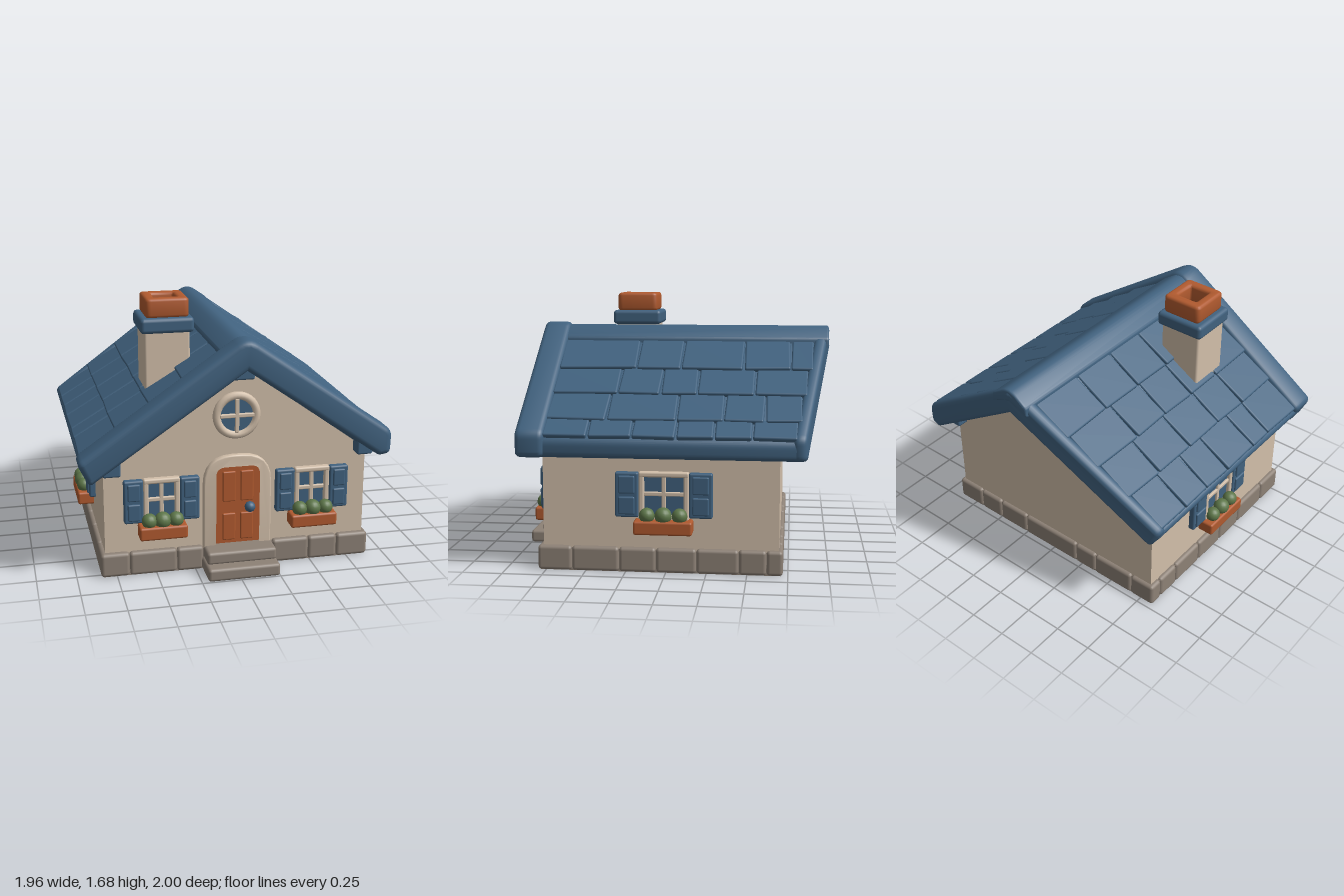
import * as THREE from 'three';
import { toCreasedNormals } from 'three/addons/utils/BufferGeometryUtils.js';
import { RoundedBoxGeometry } from 'three/addons/geometries/RoundedBoxGeometry.js';

const material = (name, color) => {
  const m = new THREE.MeshStandardMaterial({ color });
  m.name = name;
  return m;
};
const cream = material('cream plaster', 0xd2bfaa);
const blue = material('slate blue', 0x41627f);
const orange = material('terracotta', 0xb05a2f);
const stone = material('grey stone', 0x8d8176);
const green = material('leaf green', 0x5d7649);

const RIDGE = 0.05, SLOPE = 0.69, WALL_Z = 0.765;

function add(parent, name, geometry, mat) {
  const mesh = new THREE.Mesh(geometry, mat);
  mesh.name = name;
  parent.add(mesh);
  return mesh;
}

// Soft-edged box given by its limits
function block(parent, name, mat, [x0, x1], [y0, y1], [z0, z1], r = 0.012) {
  const size = [x1 - x0, y1 - y0, z1 - z0];
  const mesh = add(parent, name, new RoundedBoxGeometry(...size, 2, Math.min(r, Math.min(...size) * 0.45)), mat);
  mesh.position.set((x0 + x1) / 2, (y0 + y1) / 2, (z0 + z1) / 2);
  return mesh;
}

// Outline with rounded corners; each point is [x, y, corner radius]
function outline(points, Type = THREE.Shape) {
  const shape = new Type();
  points.forEach(([x, y, r = 0], i) => {
    const n = points.length;
    const toward = ([px, py]) => {
      const d = Math.hypot(px - x, py - y);
      return [x + (px - x) * r / d, y + (py - y) * r / d];
    };
    const a = toward(points[(i + n - 1) % n]), b = toward(points[(i + 1) % n]);
    if (i === 0) shape.moveTo(...a); else shape.lineTo(...a);
    if (r > 0) shape.quadraticCurveTo(x, y, ...b);
  });
  shape.closePath();
  return shape;
}

function extrude(shape, z0, z1, bevel = 0) {
  const geo = new THREE.ExtrudeGeometry(shape, {
    depth: z1 - z0 - 2 * bevel, bevelEnabled: bevel > 0, bevelThickness: bevel,
    bevelSize: bevel, bevelOffset: -bevel, bevelSegments: 3, curveSegments: 6,
  });
  geo.translate(0, 0, z0 + bevel);
  return toCreasedNormals(geo, 0.7);
}

// Gable-shaped roof section
function gable(apex, xl, xr) {
  const top = x => apex - SLOPE * Math.abs(x - RIDGE);
  return outline([
    [RIDGE, apex, 0.08], [xr, top(xr), 0.04], [xr - 0.005, 0.725, 0.035], [xr - 0.08, 0.715, 0.01],
    [RIDGE, 1.31], [xl + 0.075, 0.65, 0.03], [xl, top(xl), 0.04],
  ]);
}

const backEdge = x => -1 + 0.155 * Math.abs(x - RIDGE) / 0.95;

// Move vertices so the back end follows the slanted back edge
function slantBack(geo, z0, z1, shearOnly) {
  const p = geo.attributes.position;
  for (let i = 0; i < p.count; i++) {
    const shift = backEdge(p.getX(i)) + 1;
    const t = shearOnly ? 1 : (z1 - p.getZ(i)) / (z1 - z0);
    p.setZ(i, p.getZ(i) + shift * t);
  }
  return toCreasedNormals(geo, 0.7);
}

function buildRoof() {
  const roof = new THREE.Group();
  roof.name = 'roof';
  add(roof, 'roofSlab', slantBack(extrude(gable(1.465, -0.975, 0.965), -0.99, 0.85, 0.03), -0.99, 0.85), blue);
  add(roof, 'frontRake', extrude(gable(1.52, -0.99, 0.985), 0.735, 0.915, 0.035), blue);
  add(roof, 'backRake', slantBack(extrude(gable(1.495, -0.98, 0.968), -1, -0.92, 0.03), -1, -0.92, true), blue);
  const w = 0.14, e = 1.5 - SLOPE * w;
  add(roof, 'ridgeCap', extrude(outline([
    [RIDGE, 1.5, 0.07], [RIDGE + w, e, 0.02], [RIDGE + w, e - 0.06], [RIDGE, 1.4],
    [RIDGE - w, e - 0.06], [RIDGE - w, e, 0.02],
  ]), -0.995, 0.88, 0.015), blue);

  // Overlapping tiles: row limits measured from the ridge, joints along z
  const slopes = [
    { s: 1, rows: [0.13, 0.37, 0.57, 0.77, 0.89], joints: [
      [0.75, 0.24, -0.05, -0.45, -0.75], [0.75, 0.33, 0.06, -0.17, -0.53],
      [0.75, 0.37, -0.06, -0.35, -0.6], [0.75, 0.47, 0.2, -0.07, -0.3, -0.53]] },
    { s: -1, rows: [0.12, 0.35, 0.56, 0.77, 0.99], joints: [
      [0.75, 0.42, 0.1, -0.2, -0.52], [0.75, 0.38, 0.1, -0.18, -0.47],
      [0.75, 0.4, 0.12, -0.2, -0.52], [0.75, 0.4, 0.22, -0.08, -0.31, -0.54]] },
  ];
  const pitch = Math.atan(SLOPE);
  for (const { s, rows, joints } of slopes) {
    joints.forEach((line, r) => {
      const mid = (rows[r] + rows[r + 1]) / 2;
      const length = (rows[r + 1] - rows[r]) / Math.cos(pitch) + 0.02;
      const ends = [...line, backEdge(RIDGE + mid) + 0.06];
      for (let i = 0; i + 1 < ends.length; i++) {
        const width = ends[i] - ends[i + 1] - 0.01;
        const tile = add(roof, 'roofTile', new RoundedBoxGeometry(length, 0.04, width, 2, 0.012), blue);
        tile.position.set(RIDGE + s * mid, 1.465 - SLOPE * mid, (ends[i] + ends[i + 1]) / 2);
        tile.rotation.z = -s * (pitch - 0.07);
        tile.rotateY(0.025 * Math.sin(i * 2.3 + r * 1.7 + s));
      }
    });
  }

  // Brackets below the eaves and the peak
  for (const z of [[0.74, 0.85], [-0.77, -0.68]]) {
    block(roof, 'eaveBracket', blue, [-0.83, -0.72], [0.68, 0.8], z);
    block(roof, 'eaveBracket', blue, [0.78, 0.88], [0.71, 0.82], z);
  }
  block(roof, 'peakBlock', blue, [-0.045, 0.11], [1.24, 1.35], [0.74, 0.84]);
  return roof;
}

// Window with shutters and flower box, facing +z from the wall
function buildWindow(name, w, shutterW, boxW) {
  const g = new THREE.Group(), h = w / 2;
  g.name = name;
  block(g, 'windowGlass', blue, [-h + 0.01, h - 0.01], [0.35, 0.62], [0.002, 0.01], 0.001);
  for (const s of [-1, 1]) {
    block(g, 'windowJamb', cream, [s * (h - 0.017) - 0.017, s * (h - 0.017) + 0.017], [0.34, 0.63], [-0.01, 0.035]);
    const c = s * (h + shutterW / 2), q = shutterW / 2;
    block(g, 'shutter', blue, [c - q, c + q], [0.35, 0.63], [-0.01, 0.04]);
    for (const y of [0.37, 0.5])
      block(g, 'shutterPanel', blue, [c - q + 0.022, c + q - 0.022], [y, y + 0.11], [0.03, 0.052], 0.009);
  }
  for (const y of [0.33, 0.6])
    block(g, 'windowRail', cream, [-h, h], [y, y + 0.034], [-0.01, 0.037]);
  block(g, 'mullion', cream, [-0.013, 0.013], [0.34, 0.62], [-0.005, 0.025], 0.006);
  block(g, 'transom', cream, [-h + 0.01, h - 0.01], [0.482, 0.508], [-0.005, 0.025], 0.006);
  block(g, 'flowerBox', orange, [-boxW / 2, boxW / 2], [0.255, 0.34], [-0.01, 0.105], 0.014);
  for (const i of [-1, 0, 1]) {
    const bush = add(g, 'bush', new THREE.SphereGeometry(0.048, 16, 12), green);
    bush.position.set(i * boxW * 0.28, 0.368, 0.055);
    if (i === 0) bush.scale.setScalar(1.1);
  }
  return g;
}

function buildDoor() {
  const g = new THREE.Group();
  g.name = 'door';
  const arch = (l, r, top, round) => [[l, 0.14], [l, top, round], [r, top, round], [r, 0.14]];
  const surround = outline(arch(-0.2, 0.235, 0.75, 0.19));
  surround.holes.push(outline(arch(-0.13, 0.17, 0.685, 0.07), THREE.Path));
  add(g, 'doorSurround', extrude(surround, WALL_Z - 0.02, WALL_Z + 0.035, 0.01), cream);
  add(g, 'doorLeaf', extrude(outline(arch(-0.135, 0.175, 0.69, 0.07)), WALL_Z - 0.02, WALL_Z + 0.012), orange);
  for (const x of [[-0.075, 0.008], [0.04, 0.123]]) for (const y of [[0.18, 0.36], [0.44, 0.64]])
    block(g, 'doorPanel', orange, x, y, [WALL_Z, WALL_Z + 0.024], 0.008);
  const knob = add(g, 'doorKnob', new THREE.SphereGeometry(0.034, 16, 12), blue);
  knob.position.set(0.095, 0.405, WALL_Z + 0.045);
  return g;
}

function buildRoundWindow() {
  const g = new THREE.Group();
  g.name = 'roundWindow';
  g.position.set(0.015, 1.0, WALL_Z);
  add(g, 'roundFrame', new THREE.TorusGeometry(0.126, 0.026, 10, 36), cream);
  add(g, 'roundGlass', new THREE.CircleGeometry(0.12, 32), blue).position.z = 0.006;
  block(g, 'mullion', cream, [-0.013, 0.013], [-0.11, 0.11], [-0.005, 0.022], 0.006);
  block(g, 'transom', cream, [-0.11, 0.11], [-0.013, 0.013], [-0.005, 0.022], 0.006);
  return g;
}

function buildChimney() {
  const g = new THREE.Group();
  g.name = 'chimney';
  block(g, 'chimneyShaft', cream, [-0.505, -0.215], [1.0, 1.5], [0.185, 0.47], 0.015);
  block(g, 'chimneyCap', blue, [-0.53, -0.19], [1.468, 1.565], [0.16, 0.495], 0.025);
  const square = (h, r) => [[-h, -h, r], [h, -h, r], [h, h, r], [-h, h, r]];
  const pot = outline(square(0.138, 0.035));
  pot.holes.push(outline(square(0.07, 0.01), THREE.Path));
  const geo = extrude(pot, 0, 0.125, 0.02);
  geo.rotateX(-Math.PI / 2);
  add(g, 'chimneyPot', geo, orange).position.set(-0.355, 1.56, 0.327);
  return g;
}

function buildFoundation() {
  const g = new THREE.Group();
  g.name = 'foundation';
  add(g, 'foundationCore', new THREE.BoxGeometry(1.71, 0.142, 1.49), stone).position.set(0.02, 0.071, 0.04);
  const xs = [-0.85, -0.67, -0.37, -0.2, 0.25, 0.49, 0.68, 0.89];
  const zs = [0.8, 0.585, 0.29, 0.06, -0.19, -0.45, -0.62, -0.72];
  const y = [0, 0.155];
  for (let i = 0; i < 7; i++) {
    for (const z of [[0.68, 0.8], [-0.72, -0.62]])
      block(g, 'foundationStone', stone, [xs[i], xs[i + 1]], y, z, 0.022);
    for (const x of [[-0.85, -0.74], [0.78, 0.89]])
      block(g, 'foundationStone', stone, x, y, [zs[i + 1], zs[i]], 0.022);
  }
  block(g, 'upperStep', stone, [-0.2, 0.245], [0.075, 0.157], [0.7, 0.92], 0.02);
  block(g, 'lowerStep', stone, [-0.21, 0.25], [0, 0.083], [0.7, 1.0], 0.02);
  return g;
}

export function createModel() {
  const house = new THREE.Group();
  house.name = 'cottage';
  const walls = outline([[-0.82, 0.1], [0.86, 0.1], [0.86, 0.78], [RIDGE, 1.35], [-0.82, 0.75]]);
  add(house, 'walls', extrude(walls, -0.695, WALL_Z), cream);
  house.add(buildRoof(), buildDoor(), buildRoundWindow(), buildChimney(), buildFoundation());

  const windows = [
    ['frontRightWindow', 0.23, 0.122, 0.3, -0.463, WALL_Z, 0],
    ['frontLeftWindow', 0.23, 0.122, 0.3, 0.503, WALL_Z, 0],
    ['leftSideWindow', 0.31, 0.145, 0.36, 0.86, 0.01, Math.PI / 2],
    ['rightSideWindow', 0.31, 0.145, 0.36, -0.82, 0.01, -Math.PI / 2],
  ];
  for (const [name, w, shutterW, boxW, x, z, turn] of windows) {
    const win = buildWindow(name, w, shutterW, boxW);
    win.position.set(x, 0, z);
    win.rotation.y = turn;
    house.add(win);
  }
  return house;
}
